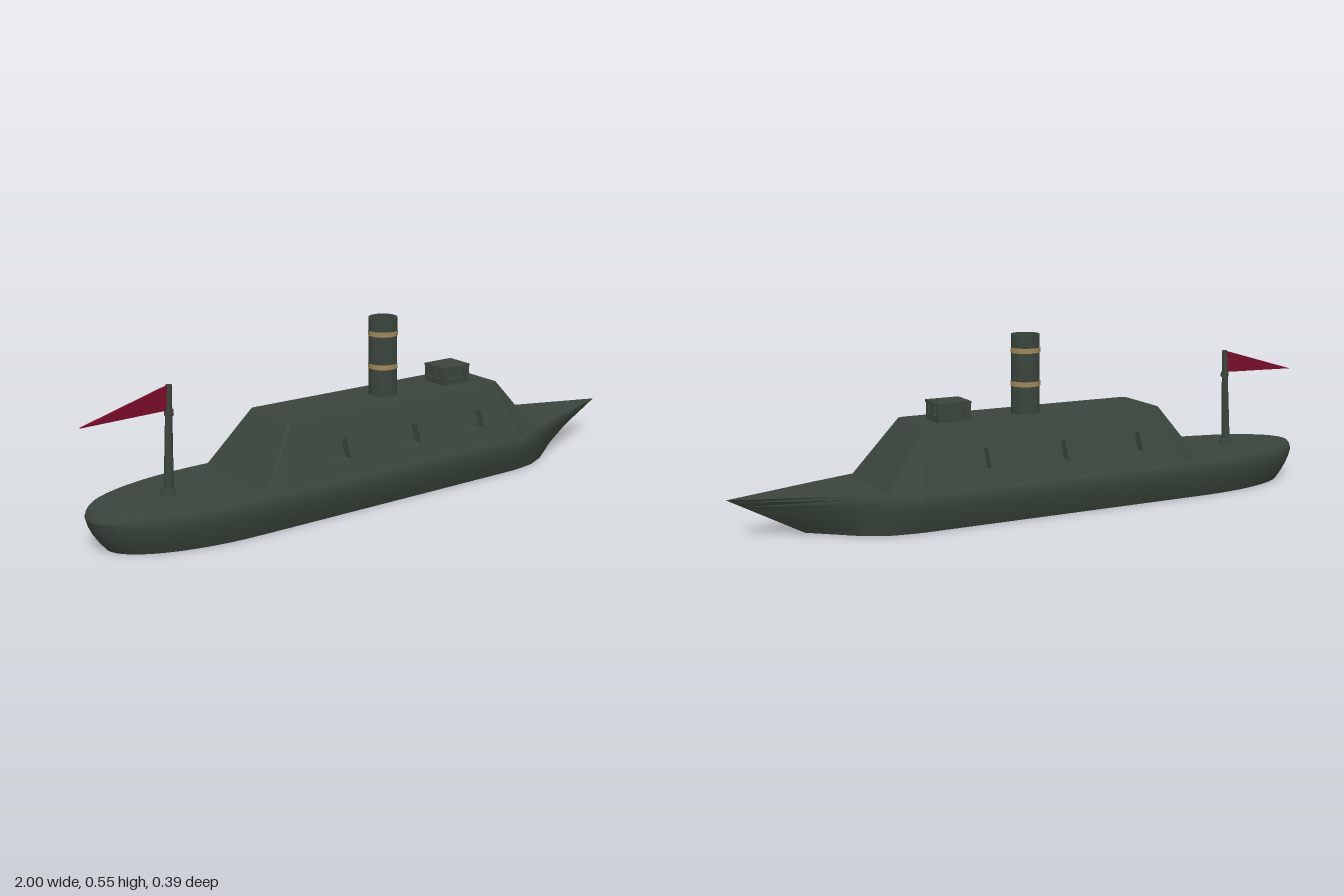
import * as THREE from 'three';
import { toCreasedNormals } from 'three/addons/utils/BufferGeometryUtils.js';

const iron = new THREE.MeshStandardMaterial({ color: 0x3a453c });
iron.name = 'dark green iron';
const brass = new THREE.MeshStandardMaterial({ color: 0xa08858 });
brass.name = 'dull brass';
const red = new THREE.MeshStandardMaterial({ color: 0x780d2a, side: THREE.DoubleSide });
red.name = 'flag red';

function add(parent, name, geometry, material, x = 0, y = 0, z = 0) {
  const mesh = new THREE.Mesh(geometry, material);
  mesh.name = name;
  mesh.position.set(x, y, z);
  parent.add(mesh);
  return mesh;
}

// Half outline [x, halfWidth] from stern to bow -> closed ring at height y
function ring(half, y) {
  const left = half.map(([x, w]) => [x, y, w]);
  const right = half.filter(p => p[1] > 0).reverse().map(([x, w]) => [x, y, -w]);
  return [...left, ...right];
}

// Skin a stack of rings, with a fan closing the bottom and the top
function loft(rings, skip = []) {
  const pos = [];
  const tri = (...p) => p.forEach(v => pos.push(...v));
  const n = rings[0].length;
  for (let k = 0; k < rings.length - 1; k++) {
    for (let i = 0; i < n; i++) {
      if (skip.includes(i)) continue;
      const j = (i + 1) % n, a = rings[k], b = rings[k + 1];
      tri(a[i], a[j], b[j]);
      tri(a[i], b[j], b[i]);
    }
  }
  const bottom = rings[0], top = rings[rings.length - 1];
  for (let i = 0; i < n; i++) {
    const j = (i + 1) % n;
    tri([0, bottom[0][1], 0], bottom[j], bottom[i]);
    tri([0, top[0][1], 0], top[i], top[j]);
  }
  const g = new THREE.BufferGeometry();
  g.setAttribute('position', new THREE.Float32BufferAttribute(pos, 3));
  return toCreasedNormals(g, 0.5);
}

function rectPath(x, y, w, h) {
  return new THREE.Path([[-1, -1], [-1, 1], [1, 1], [1, -1]].map(
    ([i, j]) => new THREE.Vector2(x + i * w / 2, y + j * h / 2)));
}

function panel(points, holes, depth) {
  const shape = new THREE.Shape(points.map(p => new THREE.Vector2(...p)));
  shape.holes.push(...holes);
  return new THREE.ExtrudeGeometry(shape, { depth, bevelEnabled: false });
}

// Hull: elliptical stern, straight sides, raked pointed bow
function hullGeometry() {
  const stations = []; // [deck x, deck width, bottom x, bottom width]
  for (let i = 0; i <= 14; i++) {
    const a = (i / 14) * Math.PI / 2;
    stations.push([-0.53 - 0.46 * Math.cos(a), 0.193 * Math.sin(a),
      -0.53 - 0.405 * Math.cos(a), 0.162 * Math.sin(a)]);
  }
  stations.push([0.46, 0.193, 0.46, 0.162], [0.5, 0.187, 0.5, 0.158],
    [0.58, 0.162, 0.56, 0.148], [0.7, 0.118, 0.63, 0.115], [1, 0, 0.77, 0]);
  const levels = [[0, 0, 1], [0.025, 0.36, 1], [0.05, 0.66, 1], [0.075, 0.87, 1],
    [0.1, 1, 1], [0.115, 1, 0.98], [0.125, 1, 0.945]];
  return loft(levels.map(([y, flare, inset]) => ring(stations.map(([dx, dw, bx, bw]) => {
    const t = dx > 0.5 ? y / 0.125 : flare;
    const rim = dx < -0.53 ? 1 - (1 - inset) * 0.25 : 1;
    return [THREE.MathUtils.lerp(bx, dx, t) * rim, THREE.MathUtils.lerp(bw, dw, flare) * inset];
  }), y)));
}

// Sloping side wall of the casemate; side is +1 (left) or -1 (right)
function sideWall(side, holes, inset) {
  const g = panel([[-0.46, 0.1], [0.48, 0.1], [0.41, 0.3], [-0.38, 0.3]], holes, 0.03);
  const p = g.attributes.position;
  for (let i = 0; i < p.count; i++) {
    const slope = 0.193 - 0.425 * (p.getY(i) - 0.1) - inset;
    p.setZ(i, p.getZ(i) - (side > 0 ? 0.03 : 0) + side * slope);
  }
  g.computeVertexNormals();
  return g;
}

function casemate() {
  const group = new THREE.Group();
  group.name = 'casemate';
  const base = [[-0.525, 0.185], [-0.46, 0.193], [0.48, 0.193], [0.585, 0.16]];
  const top = [[-0.39, 0.1], [-0.38, 0.108], [0.41, 0.108], [0.43, 0.1]];
  // Ends, corners and roof; the two long sides are separate pierced walls
  add(group, 'casemateShell', loft([ring(base, 0.1), ring(top, 0.3)], [1, 5]), iron);
  for (const side of [1, -1]) {
    const ports = [-0.25, 0.02, 0.285].map(x => rectPath(x, 0.2, 0.095, 0.06));
    add(group, 'gunPortWall', sideWall(side, ports, 0), iron);
    add(group, 'gunPortBack', sideWall(side, [], 0.03), iron);
  }
  return group;
}

// Lookout box with recessed windows on all four sides
function pilothouse() {
  const group = new THREE.Group();
  group.name = 'pilothouse';
  group.position.set(0.305, 0.3, 0);
  add(group, 'pilothouseCore', new THREE.BoxGeometry(0.088, 0.058, 0.076), iron, 0, 0.029, 0);
  add(group, 'pilothouseRoof', new THREE.BoxGeometry(0.112, 0.008, 0.098), iron, 0, 0.056, 0);
  for (let i = 0; i < 4; i++) {
    const end = i % 2 === 1;
    const w = end ? 0.047 : 0.054, reach = end ? 0.044 : 0.038;
    const windows = end
      ? [rectPath(-0.02, 0.034, 0.026, 0.028), rectPath(0.02, 0.034, 0.026, 0.028)]
      : [rectPath(0, 0.034, 0.066, 0.028)];
    const g = panel([[-w, 0], [w, 0], [w, 0.054], [-w, 0.054]], windows, 0.01);
    g.translate(0, 0, reach);
    add(group, 'pilothouseWall', g, iron).rotation.y = i * Math.PI / 2;
  }
  return group;
}

// Hollow funnel with two brass bands
function funnel() {
  const group = new THREE.Group();
  group.name = 'funnel';
  group.position.set(0.04, 0, 0);
  const profile = [[0.045, 0.29], [0.045, 0.55], [0.037, 0.55], [0.037, 0.32], [0, 0.32]];
  const tube = new THREE.LatheGeometry(profile.map(p => new THREE.Vector2(...p)), 28);
  add(group, 'funnelTube', toCreasedNormals(tube, 0.5), iron);
  for (const y of [0.395, 0.5]) {
    add(group, 'funnelBand', new THREE.CylinderGeometry(0.047, 0.047, 0.016, 28), brass, 0, y, 0);
  }
  // Bands sit around the tube; a dark liner keeps the bore clear
  group.children.slice(1).forEach(band => {
    band.geometry = new THREE.CylinderGeometry(0.047, 0.047, 0.016, 28, 1, true);
  });
  return group;
}

// Stern flagstaff and pennant
function flagstaff() {
  const group = new THREE.Group();
  group.name = 'flagstaff';
  add(group, 'staffFoot', new THREE.CylinderGeometry(0.02, 0.026, 0.022, 8), iron, -0.735, 0.135, 0);
  const pole = add(group, 'pole', new THREE.CylinderGeometry(0.009, 0.015, 0.325, 10), iron, -0.727, 0.287, 0);
  pole.rotation.z = -0.045;
  add(group, 'poleCollar', new THREE.CylinderGeometry(0.014, 0.014, 0.016, 10), iron, -0.723, 0.368, 0);
  const flag = panel([[-0.718, 0.376], [-0.718, 0.45], [-0.995, 0.37]], [], 0.008);
  add(group, 'pennant', flag, red, 0, 0, -0.004);
  return group;
}

export function createModel() {
  const model = new THREE.Group();
  model.name = 'ironcladShip';
  add(model, 'hull', hullGeometry(), iron);
  model.add(casemate(), pilothouse(), funnel(), flagstaff());
  return model;
}
